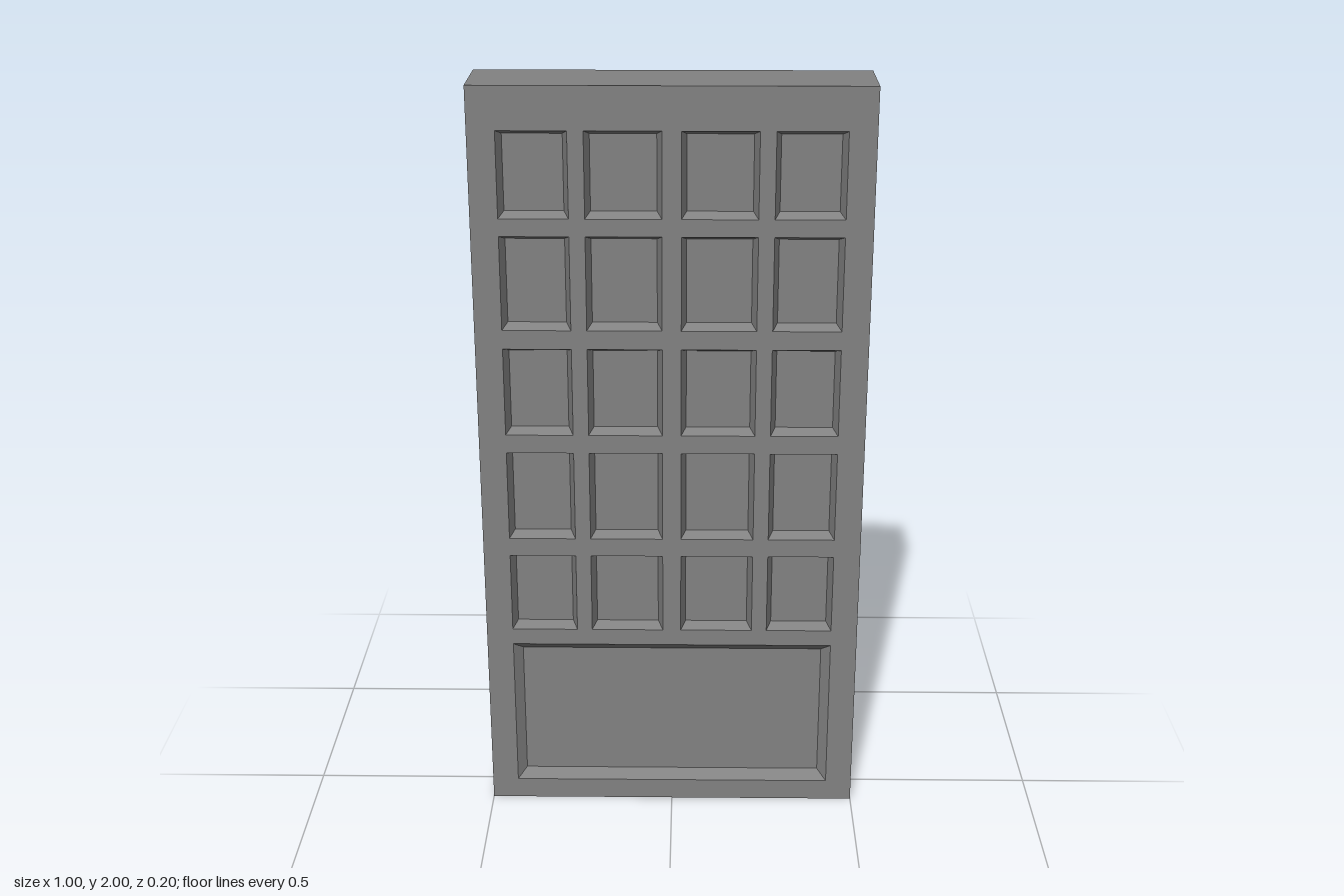
import * as THREE from 'three';
import { mergeGeometries } from 'three/addons/utils/BufferGeometryUtils.js';

const HALF_DEPTH = 0.1;
const slab = [-0.5, 0, 0.5, 2]; // left, bottom, right, top
const columns = [[-0.43, -0.255], [-0.215, -0.024], [0.024, 0.215], [0.255, 0.43]];
const rows = [[0.53, 0.75], [0.8, 1.045], [1.095, 1.33], [1.38, 1.625], [1.67, 1.89]];
const kickRect = [-0.43, 0.058, 0.43, 0.485];

const corners = ([l, b, r, t]) => [[l, b], [r, b], [r, t], [l, t]];
const inset = ([l, b, r, t], d) => [l + d, b + d, r - d, t - d];

// Four flat walls joining rectangle a at depth za to rectangle b at depth zb
function walls(a, za, b, zb) {
  const A = corners(a), B = corners(b), pos = [];
  for (let i = 0; i < 4; i++) {
    const j = (i + 1) % 4;
    const p = [...A[i], za], q = [...A[j], za], r = [...B[j], zb], s = [...B[i], zb];
    pos.push(...p, ...q, ...r, ...p, ...r, ...s);
  }
  const geo = new THREE.BufferGeometry();
  geo.setAttribute('position', new THREE.Float32BufferAttribute(pos, 3));
  geo.computeVertexNormals();
  return geo;
}

// Sloped reveal and flat floor of one recess
function recess(rect, bevel, depth) {
  const inner = inset(rect, bevel), z = HALF_DEPTH - depth;
  const [l, b, r, t] = inner;
  const floor = new THREE.PlaneGeometry(r - l, t - b).toNonIndexed();
  floor.deleteAttribute('uv');
  floor.translate((l + r) / 2, (b + t) / 2, z);
  return mergeGeometries([walls(rect, HALF_DEPTH, inner, z), floor]);
}

export function createModel() {
  const model = new THREE.Group();
  model.name = 'panelledDoor';
  const material = new THREE.MeshStandardMaterial({ color: 0x828282, flatShading: true });
  const add = (parent, name, geo) => {
    const mesh = new THREE.Mesh(geo, material);
    mesh.name = name;
    parent.add(mesh);
  };

  // Outer edges of the slab
  add(model, 'doorEdges', walls(slab, -HALF_DEPTH, slab, HALF_DEPTH));

  // Grid of small panels above one wide panel
  const panes = rows.flatMap(([b, t]) => columns.map(([l, r]) => [l, b, r, t]));
  const toVectors = (rect) => corners(rect).map(([x, y]) => new THREE.Vector2(x, y));
  const shape = new THREE.Shape(toVectors(slab));
  for (const rect of [...panes, kickRect]) {
    shape.holes.push(new THREE.Path(toVectors(rect).reverse()));
  }
  const frameGeo = new THREE.ShapeGeometry(shape).translate(0, 0, HALF_DEPTH);
  const paneGeos = panes.map((rect) => recess(rect, 0.013, 0.032));
  const kickGeo = recess(kickRect, 0.024, 0.026);

  // The same panelled face on both sides
  for (const side of ['front', 'back']) {
    const face = new THREE.Group();
    face.name = side + 'Face';
    if (side === 'back') face.rotation.y = Math.PI;
    add(face, side + 'Frame', frameGeo);
    paneGeos.forEach((geo, i) => add(face, `${side}Panel${i + 1}`, geo));
    add(face, side + 'KickPanel', kickGeo);
    model.add(face);
  }
  return model;
}
